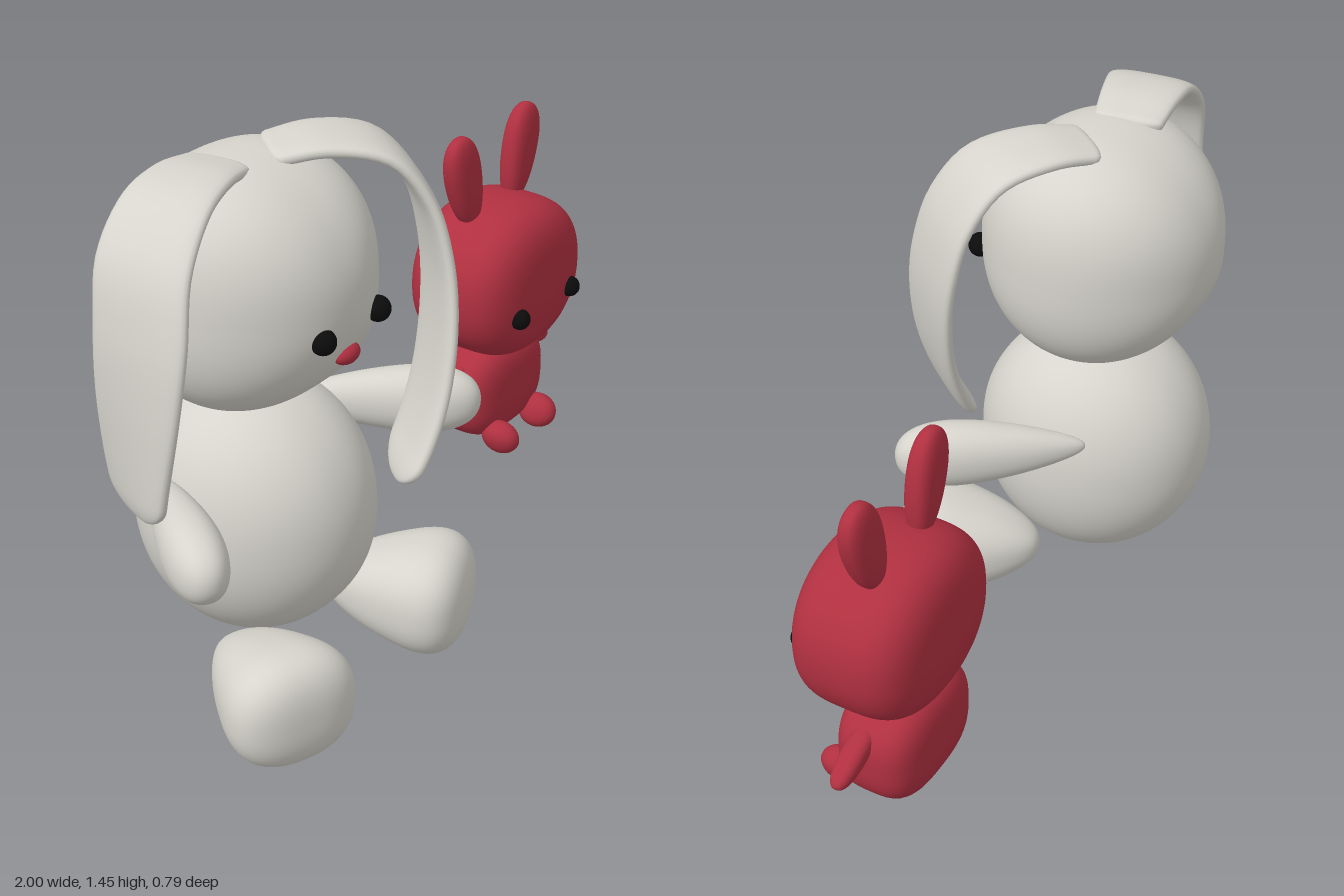
import * as THREE from 'three';
import { mergeVertices } from 'three/addons/utils/BufferGeometryUtils.js';

const mat = (name, color) => {
  const m = new THREE.MeshStandardMaterial({ color });
  m.name = name;
  return m;
};

// Rounded solid: exponent p shapes the xy outline, q the depth; taper swells the +z or +y end
function blob(rx, ry, rz, { p = 2, q = 2, taper = 0, axis = 'z', detail = 12 } = {}) {
  let g = new THREE.IcosahedronGeometry(1, detail);
  g.deleteAttribute('uv');
  g.deleteAttribute('normal');
  g = mergeVertices(g, 1e-5);
  const pos = g.attributes.position;
  const v = new THREE.Vector3();
  for (let i = 0; i < pos.count; i++) {
    v.fromBufferAttribute(pos, i);
    const outline = Math.pow(Math.abs(v.x) ** p + Math.abs(v.y) ** p, 1 / p);
    v.divideScalar(Math.pow(outline ** q + Math.abs(v.z) ** q, 1 / q));
    const k = 1 + taper * v[axis];
    if (axis === 'z') v.set(v.x * k, v.y * k, v.z);
    else v.set(v.x * k, v.y, v.z);
    pos.setXYZ(i, v.x * rx, v.y * ry, v.z * rz);
  }
  g.computeVertexNormals();
  return g;
}

// Floppy ribbon ear: flat oval rings swept along a path, width direction turning from w0 to w1
function ribbon(points, w0, w1) {
  const path = new THREE.CatmullRomCurve3(points.map((a) => new THREE.Vector3(...a)));
  const N = 56, M = 28, verts = [], index = [];
  const end = (d) => (d >= 1 ? 1 : Math.sqrt(Math.max(1 - (1 - d) ** 2, 1e-5)));
  for (let i = 0; i <= N; i++) {
    const u = (1 - Math.cos((Math.PI * i) / N)) / 2;
    const c = path.getPointAt(u), t = path.getTangentAt(u);
    const w = new THREE.Vector3(...w0).lerp(new THREE.Vector3(...w1), u * u).normalize();
    const n = t.clone().cross(w).normalize();
    const cap = end(u / 0.02) * end((1 - u) / 0.07);
    const half = (0.09 + 0.047 * Math.sin(Math.PI * Math.min(u * 0.85, 1))) * cap;
    const thick = 0.022 * cap;
    for (let j = 0; j < M; j++) {
      const a = (2 * Math.PI * j) / M, cs = Math.cos(a), sn = Math.sin(a);
      const q = c.clone()
        .addScaledVector(w, half * Math.sign(cs) * Math.abs(cs) ** 0.7)
        .addScaledVector(n, thick * Math.sign(sn) * Math.abs(sn) ** 0.7);
      verts.push(q.x, q.y, q.z);
      if (i < N) {
        const k = (j + 1) % M, A = i * M + j, B = i * M + k;
        index.push(A, B, B + M, A, B + M, A + M);
      }
    }
  }
  const g = new THREE.BufferGeometry();
  g.setAttribute('position', new THREE.Float32BufferAttribute(verts, 3));
  g.setIndex(index);
  g.computeVertexNormals();
  return g;
}

export function createModel() {
  const grey = mat('plushGrey', 0xd6d4cc);
  const red = mat('toyRed', 0xb03040);
  const black = mat('eyeBlack', 0x0c0c0c);
  const model = new THREE.Group();
  model.name = 'twoRabbits';

  const add = (parent, name, geo, material, pos = [0, 0, 0], rot = [0, 0, 0]) => {
    const m = new THREE.Mesh(geo, material);
    m.name = name;
    m.position.set(...pos);
    m.rotation.set(...rot);
    parent.add(m);
  };

  // Large rabbit
  const big = new THREE.Group();
  big.name = 'largeRabbit';
  model.add(big);
  const bx = -0.43;
  add(big, 'head', blob(0.315, 0.322, 0.322, { p: 2.6, detail: 18 }), grey, [bx, 1.113, -0.07]);
  add(big, 'body', blob(0.29, 0.345, 0.325, { p: 2.2, detail: 18 }), grey, [bx, 0.477, -0.067]);
  for (const s of [1, -1]) {
    const side = s > 0 ? 'left' : 'right';
    add(big, side + 'Foot', blob(0.15, 0.134, 0.2, { p: 2.4, q: 2.6, taper: 0.45 }), grey,
      [bx + s * 0.27, 0.157, 0.19], [0, s * 0.36, 0]);
    add(big, side + 'Arm', blob(0.068, 0.083, 0.255, { p: 2.2, q: 2.2, taper: 0.45 }), grey,
      [bx + s * 0.405, 0.618, 0.045], [0, s * 0.6, 0]);
    add(big, side + 'Eye', blob(0.033, 0.033, 0.033, { detail: 6 }), black,
      [-0.413 + s * 0.108, 1.055, 0.232]);
  }
  add(big, 'nose', blob(0.042, 0.028, 0.03, { detail: 6 }), red, [-0.415, 0.977, 0.218]);

  // Drooping ears, each bending its own way
  add(big, 'leftEar', ribbon([
    [-0.37, 1.415, -0.06], [-0.26, 1.433, 0.03], [-0.15, 1.4, 0.13], [-0.09, 1.29, 0.195],
    [-0.072, 1.14, 0.235], [-0.09, 0.98, 0.262], [-0.14, 0.8, 0.275], [-0.2, 0.66, 0.267],
    [-0.26, 0.565, 0.25],
  ], [-0.62, 0, 0.78], [-0.62, 0, 0.78]), grey);
  add(big, 'rightEar', ribbon([
    [-0.49, 1.415, -0.095], [-0.62, 1.433, -0.07], [-0.74, 1.41, -0.045], [-0.85, 1.31, -0.02],
    [-0.897, 1.15, 0], [-0.908, 0.98, -0.01], [-0.9, 0.8, -0.03], [-0.885, 0.655, -0.045],
  ], [0.17, 0, 0.98], [-0.35, 0, 0.94]), grey);

  // Small rabbit
  const small = new THREE.Group();
  small.name = 'smallRabbit';
  model.add(small);
  const sx = 0.697;
  add(small, 'head', blob(0.26, 0.228, 0.177, { p: 2.2, q: 3.4, detail: 18 }), red, [sx, 0.668, -0.087]);
  add(small, 'body', blob(0.19, 0.15, 0.118, { p: 2.8, q: 3.4, detail: 14 }), red, [sx, 0.312, -0.115]);
  for (const s of [1, -1]) {
    const side = s > 0 ? 'left' : 'right';
    add(small, side + 'Ear', blob(0.062, 0.145, 0.037, { p: 2.2, q: 2.8, taper: 0.25, axis: 'y' }), red,
      [sx + s * 0.138, 0.985, -0.11], [0, 0, -s * 0.25]);
    add(small, side + 'Arm', blob(0.1, 0.032, 0.032, { p: 2.2, q: 2.6, detail: 8 }), red,
      [sx + s * 0.205, 0.372, -0.1], [0, 0, -s * 0.38]);
    add(small, side + 'Foot', blob(0.042, 0.051, 0.06, { p: 2.2, detail: 8 }), red,
      [sx + s * 0.099, 0.19, 0.01], [0, 0, -s * -0.35 * -1]);
    add(small, side + 'Eye', blob(0.03, 0.03, 0.03, { detail: 6 }), black,
      [sx + s * 0.13, 0.613, 0.084]);
  }
  return model;
}
